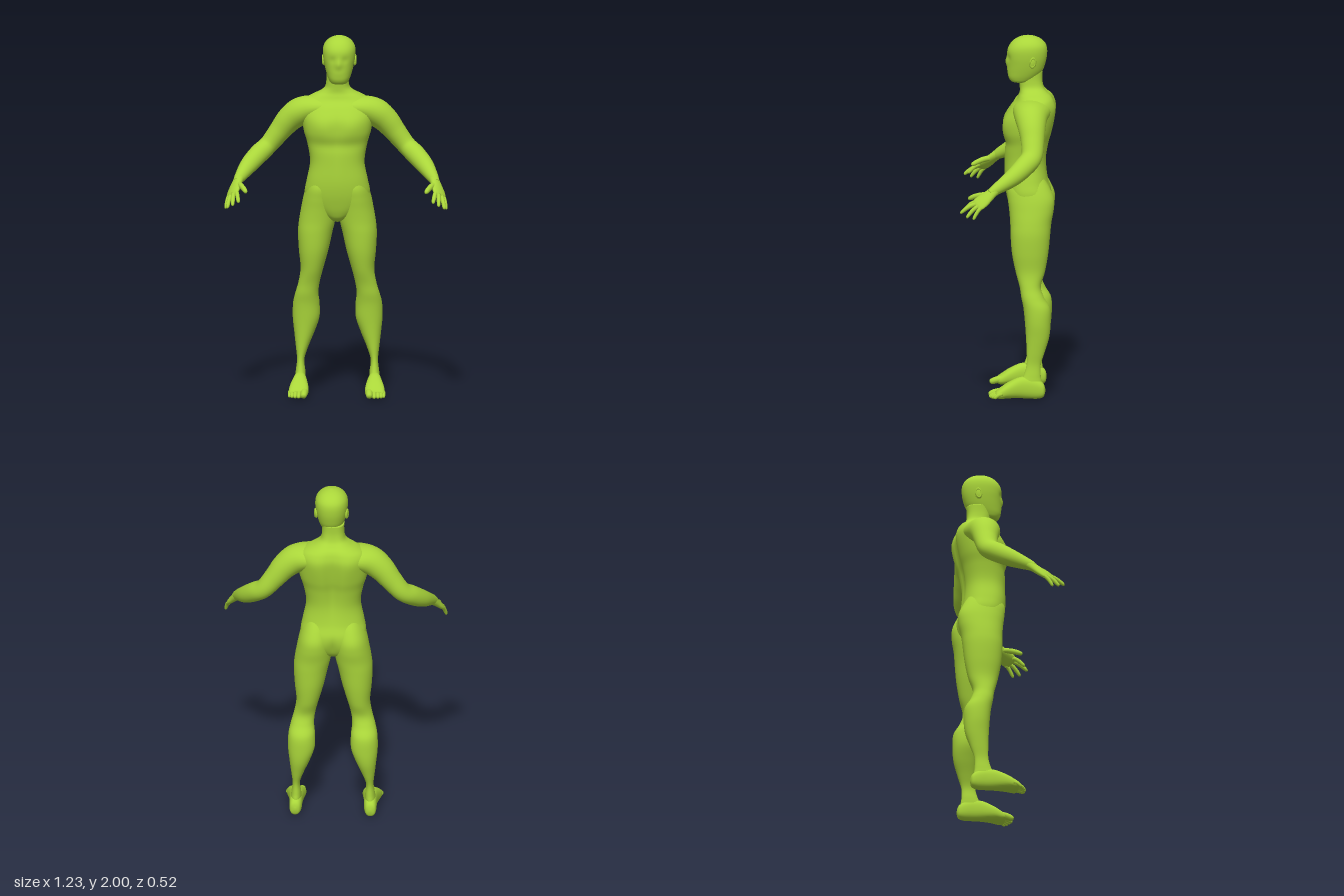
import * as THREE from 'three';

const skin = new THREE.MeshStandardMaterial({ color: 0xaad63a });
skin.name = 'lime skin';

// Smoothly interpolate number rows (Catmull-Rom), n steps per span
function smooth(rows, n) {
  const out = [];
  const at = (i) => rows[Math.min(Math.max(i, 0), rows.length - 1)];
  for (let i = 0; i < rows.length - 1; i++) {
    for (let k = 0; k < n; k++) {
      const t = k / n;
      out.push(rows[i].map((b, c) => {
        const a = at(i - 1)[c], d = at(i + 1)[c], e = at(i + 2)[c];
        return b + 0.5 * t * (d - a + t * (2 * a - 5 * b + 4 * d - e + t * (3 * (b - d) + e - a)));
      }));
    }
  }
  out.push(rows[rows.length - 1]);
  return out;
}

// Skin closed rings of points into one smooth surface with capped ends
function skinRings(rings, flip) {
  const m = rings[0].length, pos = [], idx = [];
  const tri = (a, b, c) => (flip ? idx.push(a, c, b) : idx.push(a, b, c));
  rings.forEach((r) => r.forEach((p) => pos.push(p.x, p.y, p.z)));
  for (let i = 0; i < rings.length - 1; i++) {
    for (let j = 0; j < m; j++) {
      const a = i * m + j, b = i * m + (j + 1) % m;
      tri(a, b, a + m);
      tri(b, b + m, a + m);
    }
  }
  [0, rings.length - 1].forEach((i) => {
    const c = new THREE.Vector3();
    rings[i].forEach((p) => c.addScaledVector(p, 1 / m));
    const id = pos.length / 3;
    pos.push(c.x, c.y, c.z);
    for (let j = 0; j < m; j++) {
      const a = i * m + j, b = i * m + (j + 1) % m;
      if (i) tri(a, b, id); else tri(b, a, id);
    }
  });
  const g = new THREE.BufferGeometry();
  g.setAttribute('position', new THREE.Float32BufferAttribute(pos, 3));
  g.setIndex(idx);
  g.computeVertexNormals();
  return g;
}

// Rows [level, x0, x1, v0, v1] with rising level; rings lie across y (v = z) or across z (v = y)
function loft(rows, { along = 'y', power = 1, bump, sides = 48, steps = 6 } = {}) {
  const sq = (v) => Math.sign(v) * Math.abs(v) ** power;
  const rings = smooth(rows, steps).map(([l, x0, x1, v0, v1]) => Array.from({ length: sides }, (_, j) => {
    const a = (j / sides) * Math.PI * 2;
    const x = (x0 + x1) / 2 + (x1 - x0) / 2 * sq(Math.cos(a));
    const v = (v0 + v1) / 2 + (v1 - v0) / 2 * sq(Math.sin(a));
    const p = along === 'y' ? new THREE.Vector3(x, l, v) : new THREE.Vector3(x, v, l);
    if (bump) p.z += bump(p.x, p.y, Math.sin(a));
    return p;
  }));
  return skinRings(rings, along === 'y');
}

// Rows [x, y, z, ru, rv]; oval sections swept along a path, u kept near ref
function limb(rows, ref, sides = 24, steps = 5) {
  const s = smooth(rows, steps), P = s.map((r) => new THREE.Vector3(r[0], r[1], r[2]));
  return skinRings(s.map((r, i) => {
    const t = P[Math.min(i + 1, P.length - 1)].clone().sub(P[Math.max(i - 1, 0)]).normalize();
    const u = ref.clone().addScaledVector(t, -ref.dot(t)).normalize();
    const v = t.clone().cross(u);
    return Array.from({ length: sides }, (_, j) => {
      const a = (j / sides) * Math.PI * 2;
      return P[i].clone().addScaledVector(u, r[3] * Math.cos(a)).addScaledVector(v, r[4] * Math.sin(a));
    });
  }), false);
}

// Finger or toe: tapered, slightly arched, with a rounded tip
function digit(b, t, r, arch, ref) {
  const row = (k, s) => [0, 1, 2].map((c) => b[c] + (t[c] - b[c]) * k + (c === 1 ? arch * 4 * k * (1 - k) : 0)).concat(r * s, r * s);
  return limb([row(0, 1), row(0.35, 1), row(0.65, 0.95), row(0.88, 0.8), row(0.97, 0.5), row(1, 0.05)], ref, 12, 3);
}

function mirrored(g) {
  const m = g.clone().scale(-1, 1, 1), a = m.index.array;
  for (let i = 0; i < a.length; i += 3) [a[i], a[i + 1]] = [a[i + 1], a[i]];
  m.computeVertexNormals();
  return m;
}

const bell = (d, w) => Math.exp(-((d / w) ** 2));

export function createModel() {
  const model = new THREE.Group();
  model.name = 'figure';
  const headGroup = new THREE.Group();
  headGroup.name = 'headGroup';
  headGroup.position.x = 0.01;
  model.add(headGroup);
  const add = (name, g, parent = model) => {
    const mesh = new THREE.Mesh(g, skin);
    mesh.name = name;
    parent.add(mesh);
  };
  const pair = (name, g, parent) => {
    add('left' + name, g, parent);
    add('right' + name, mirrored(g), parent);
  };
  const sym = (rows) => rows.map(([y, w, front, back]) => [y, -w, w, back, front]);

  // Torso and neck, with chest and spine groove
  add('torso', loft(sym([
    [0.965, 0.02, -0.07, -0.12], [0.985, 0.055, -0.03, -0.17], [1.02, 0.115, -0.01, -0.21],
    [1.07, 0.168, 0.005, -0.232], [1.13, 0.18, 0.018, -0.234], [1.2, 0.168, 0.025, -0.215],
    [1.3, 0.15, 0.025, -0.208], [1.4, 0.165, 0.026, -0.222], [1.47, 0.185, 0.032, -0.24],
    [1.54, 0.195, 0.025, -0.252], [1.6, 0.195, -0.008, -0.257], [1.64, 0.175, -0.04, -0.248],
    [1.665, 0.138, -0.052, -0.235], [1.685, 0.098, -0.058, -0.215], [1.71, 0.069, -0.058, -0.197],
    [1.75, 0.061, -0.055, -0.188], [1.8, 0.061, -0.055, -0.188],
  ]), {
    power: 0.86,
    bump: (x, y, s) => {
      if (s > 0) {
        return s * (0.01 * bell(Math.abs(x) - 0.09, 0.06) * bell(y - 1.5, 0.06)
          - 0.008 * bell(x, 0.02) * bell(y - 1.45, 0.15) - 0.006 * bell(y - 1.4, 0.03));
      }
      return -s * (0.024 * bell(x, 0.035) * bell(y - 1.45, 0.24)
        + 0.02 * bell(x, 0.025) * bell(y - 1.05, 0.06)
        - 0.008 * bell(Math.abs(x) - 0.1, 0.05) * bell(y - 1.58, 0.08));
    },
  }));

  // Head with nose and eye hollows
  add('head', loft(sym([
    [1.735, 0.02, -0.035, -0.09], [1.742, 0.045, -0.012, -0.12], [1.765, 0.059, 0.003, -0.155],
    [1.8, 0.071, 0.006, -0.184], [1.84, 0.081, 0.007, -0.199], [1.88, 0.088, 0.01, -0.208],
    [1.92, 0.09, 0.008, -0.21], [1.95, 0.083, -0.006, -0.202], [1.975, 0.064, -0.03, -0.18],
    [1.992, 0.036, -0.063, -0.146], [2, 0.004, -0.1, -0.108],
  ]), {
    power: 0.93,
    bump: (x, y, s) => (s > 0 ? s * (0.012 * bell(x, 0.017) * bell(y - 1.85, 0.028)
      - 0.006 * bell(Math.abs(x) - 0.034, 0.022) * bell(y - 1.875, 0.02)
      + 0.003 * bell(x, 0.03) * bell(y - 1.8, 0.02)) : 0),
  }), headGroup);

  // Ears: a flattened lobe with a raised rim
  const ear = new THREE.SphereGeometry(1, 16, 12).scale(0.008, 0.031, 0.02);
  ear.rotateY(0.25).rotateX(-0.15).translate(0.084, 1.858, -0.132);
  pair('Ear', ear, headGroup);
  const rim = new THREE.TorusGeometry(0.018, 0.0045, 8, 24).scale(0.8, 1.4, 1);
  rim.rotateY(Math.PI / 2 + 0.25).rotateX(-0.15).translate(0.088, 1.86, -0.132);
  pair('EarRim', rim, headGroup);

  // Legs from ankle to hip, rounding into the buttocks
  pair('Leg', loft([
    [0.07, 0.175, 0.235, -0.185, -0.05], [0.1, 0.175, 0.233, -0.182, -0.065],
    [0.13, 0.177, 0.229, -0.178, -0.083], [0.19, 0.182, 0.223, -0.178, -0.1], [0.26, 0.16, 0.23, -0.2, -0.1],
    [0.34, 0.127, 0.239, -0.224, -0.096], [0.42, 0.1, 0.247, -0.232, -0.09], [0.5, 0.099, 0.245, -0.228, -0.082],
    [0.56, 0.105, 0.232, -0.195, -0.07], [0.62, 0.098, 0.215, -0.178, -0.06], [0.7, 0.078, 0.203, -0.2, -0.038],
    [0.8, 0.05, 0.212, -0.218, -0.018], [0.9, 0.028, 0.217, -0.228, -0.01], [0.97, 0.012, 0.211, -0.235, -0.008],
    [1.04, 0.008, 0.199, -0.248, -0.002], [1.1, 0.01, 0.187, -0.249, 0.006], [1.16, 0.015, 0.17, -0.225, 0.01],
    [1.22, 0.03, 0.145, -0.19, -0.01],
  ], { power: 0.95, sides: 36 }));

  // Feet and toes
  pair('Foot', loft([
    [-0.203, 0.2, 0.213, 0.04, 0.055], [-0.193, 0.181, 0.234, 0.012, 0.085], [-0.16, 0.171, 0.24, 0.001, 0.11],
    [-0.11, 0.169, 0.241, 0.002, 0.122], [-0.06, 0.164, 0.247, 0.004, 0.12], [0, 0.156, 0.26, 0.004, 0.093],
    [0.04, 0.156, 0.265, 0.001, 0.066], [0.062, 0.162, 0.262, 0.006, 0.05], [0.07, 0.175, 0.25, 0.015, 0.04],
  ], { along: 'z', power: 0.85, sides: 32 }));
  const X = new THREE.Vector3(1, 0, 0);
  [[0.178, 0.109, 0.02], [0.205, 0.107, 0.0125], [0.225, 0.1, 0.012], [0.242, 0.09, 0.0115], [0.256, 0.077, 0.011]]
    .forEach(([x, z, r], i) => pair('Toe' + (i + 1), digit([x, 0.035, 0.03], [x + 0.003, r * 0.8, z], r, 0.006, X)));

  // Arms, from deep inside the chest over the shoulder to the wrist
  pair('Arm', limb([
    [0.04, 1.6, -0.13, 0.105, 0.05], [0.13, 1.594, -0.127, 0.104, 0.066], [0.205, 1.571, -0.125, 0.09, 0.077],
    [0.265, 1.525, -0.13, 0.076, 0.071], [0.32, 1.457, -0.135, 0.064, 0.06], [0.378, 1.385, -0.13, 0.058, 0.052],
    [0.43, 1.34, -0.09, 0.056, 0.054], [0.485, 1.287, -0.025, 0.047, 0.048], [0.53, 1.235, 0.06, 0.031, 0.032],
    [0.547, 1.212, 0.095, 0.022, 0.022],
  ], new THREE.Vector3(0, 0, 1), 28, 6));

  // Hands: flat palm, four spread fingers and a thumb
  const across = new THREE.Vector3(0.75, -0.45, -0.6);
  pair('Palm', limb([
    [0.522, 1.245, 0.045, 0.027, 0.026], [0.537, 1.225, 0.073, 0.03, 0.025], [0.549, 1.203, 0.1, 0.035, 0.022],
    [0.561, 1.177, 0.132, 0.044, 0.019], [0.57, 1.155, 0.16, 0.044, 0.015], [0.574, 1.145, 0.172, 0.034, 0.008],
  ], across));
  [
    [[0.548, 1.168, 0.172], [0.535, 1.118, 0.236], 0.012],
    [[0.565, 1.158, 0.172], [0.567, 1.105, 0.258], 0.012],
    [[0.58, 1.148, 0.16], [0.597, 1.085, 0.223], 0.0115],
    [[0.592, 1.14, 0.145], [0.608, 1.077, 0.186], 0.0105],
  ].forEach(([b, t, r], i) => pair('Finger' + (i + 1), digit(b, t, r, 0.008, across)));
  pair('Thumb', digit([0.543, 1.205, 0.105], [0.493, 1.172, 0.216], 0.0155, 0.008, across));

  return model;
}
